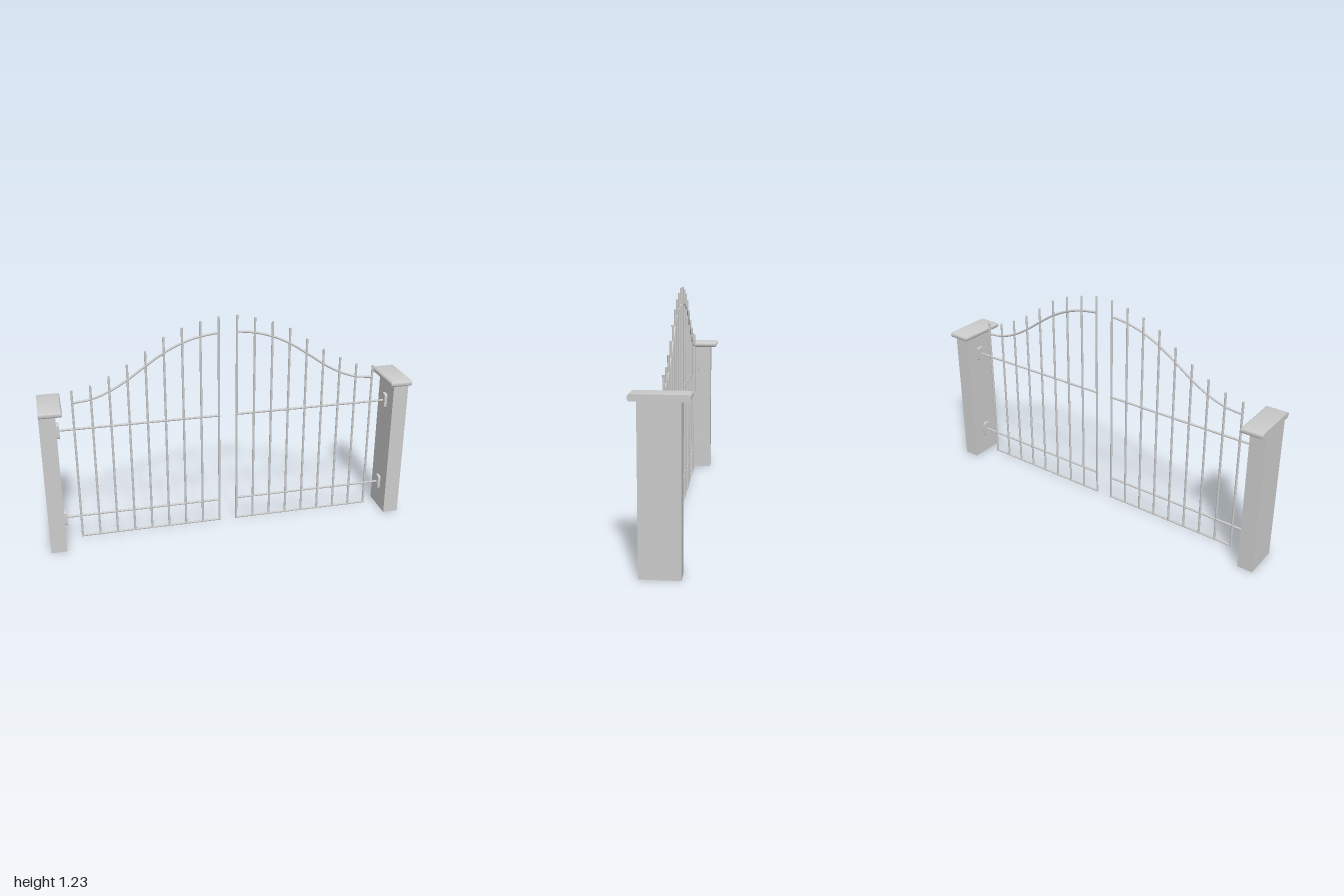
import * as THREE from 'three';
import { toCreasedNormals } from 'three/addons/utils/BufferGeometryUtils.js';

const material = new THREE.MeshStandardMaterial({ color: 0xcccccc });
const ROD = 0.006;

function add(group, name, geometry, x = 0, y = 0, z = 0) {
  const mesh = new THREE.Mesh(geometry, material);
  mesh.name = name;
  mesh.position.set(x, y, z);
  group.add(mesh);
  return mesh;
}

// Pillar cap: bullnose on three sides, cut flush with the outer face
function capGeometry() {
  const r = 0.015, inner = 0.88 + r, outer = 1.03, half = 0.138 - r;
  const shape = new THREE.Shape([
    new THREE.Vector2(inner, -half), new THREE.Vector2(outer, -half),
    new THREE.Vector2(outer, half), new THREE.Vector2(inner, half),
  ]);
  const geo = new THREE.ExtrudeGeometry(shape, {
    depth: 0.002, bevelSize: r, bevelThickness: r, bevelSegments: 5,
  });
  geo.rotateX(-Math.PI / 2);
  const pos = geo.attributes.position;
  for (let i = 0; i < pos.count; i++) pos.setX(i, Math.min(pos.getX(i), 1));
  return toCreasedNormals(geo, 0.6);
}

// Hinge plate: rounded rectangle lying against the pillar
function plateGeometry() {
  const w = 0.022, h = 0.042, r = 0.012;
  const s = new THREE.Shape();
  s.absarc(w - r, h - r, r, 0, Math.PI / 2);
  s.absarc(r - w, h - r, r, Math.PI / 2, Math.PI);
  s.absarc(r - w, r - h, r, Math.PI, Math.PI * 1.5);
  s.absarc(w - r, r - h, r, Math.PI * 1.5, Math.PI * 2);
  const geo = new THREE.ExtrudeGeometry(s, { depth: 0.02, bevelEnabled: false, curveSegments: 4 });
  return toCreasedNormals(geo.rotateY(Math.PI / 2), 0.6);
}

function rail(group, name, x0, x1, y) {
  const geo = new THREE.CylinderGeometry(ROD, ROD, x1 - x0, 10).rotateZ(Math.PI / 2);
  add(group, name, geo, (x0 + x1) / 2, y);
}

function gateHalf() {
  const half = new THREE.Group();
  const x0 = 0.049, x1 = 0.822;

  // Stone pillar and cap
  add(half, 'pillar', new THREE.BoxGeometry(0.085, 0.802, 0.194), 0.9575, 0.401);
  add(half, 'pillarCap', capGeometry(), 0, 0.815);

  // Horizontal rails, the upper two reaching the hinge plates
  rail(half, 'bottomRail', x0 - ROD, x1 + ROD, 0.03);
  for (const y of [0.157, 0.673]) {
    rail(half, 'hingeRail', x0 - ROD, 0.905, y);
    add(half, 'hingePlate', plateGeometry(), 0.899, y);
  }

  // Sweeping top rail
  const curveY = [1.14, 1.127, 1.099, 1.053, 0.99, 0.922, 0.867, 0.832, 0.82];
  const barX = (i) => x0 + (x1 - x0) * i / (curveY.length - 1);
  const sweep = new THREE.CatmullRomCurve3(curveY.map((y, i) => new THREE.Vector3(barX(i), y, 0)));
  add(half, 'topRail', new THREE.TubeGeometry(sweep, 48, ROD, 10));

  // Upright bars, standing a little above the top rail
  const tops = [1.228, 1.208, 1.181, 1.138, 1.07, 1.005, 0.95, 0.908, 0.888];
  tops.forEach((top, i) => {
    const h = top - 0.025;
    add(half, 'uprightBar', new THREE.CylinderGeometry(ROD, ROD, h, 10), barX(i), 0.025 + h / 2);
  });
  return half;
}

export function createModel() {
  const model = new THREE.Group();
  model.name = 'gate';
  const left = gateHalf();
  left.name = 'leftHalf';
  const right = gateHalf();
  right.name = 'rightHalf';
  right.rotation.y = Math.PI;
  model.add(left, right);
  return model;
}
